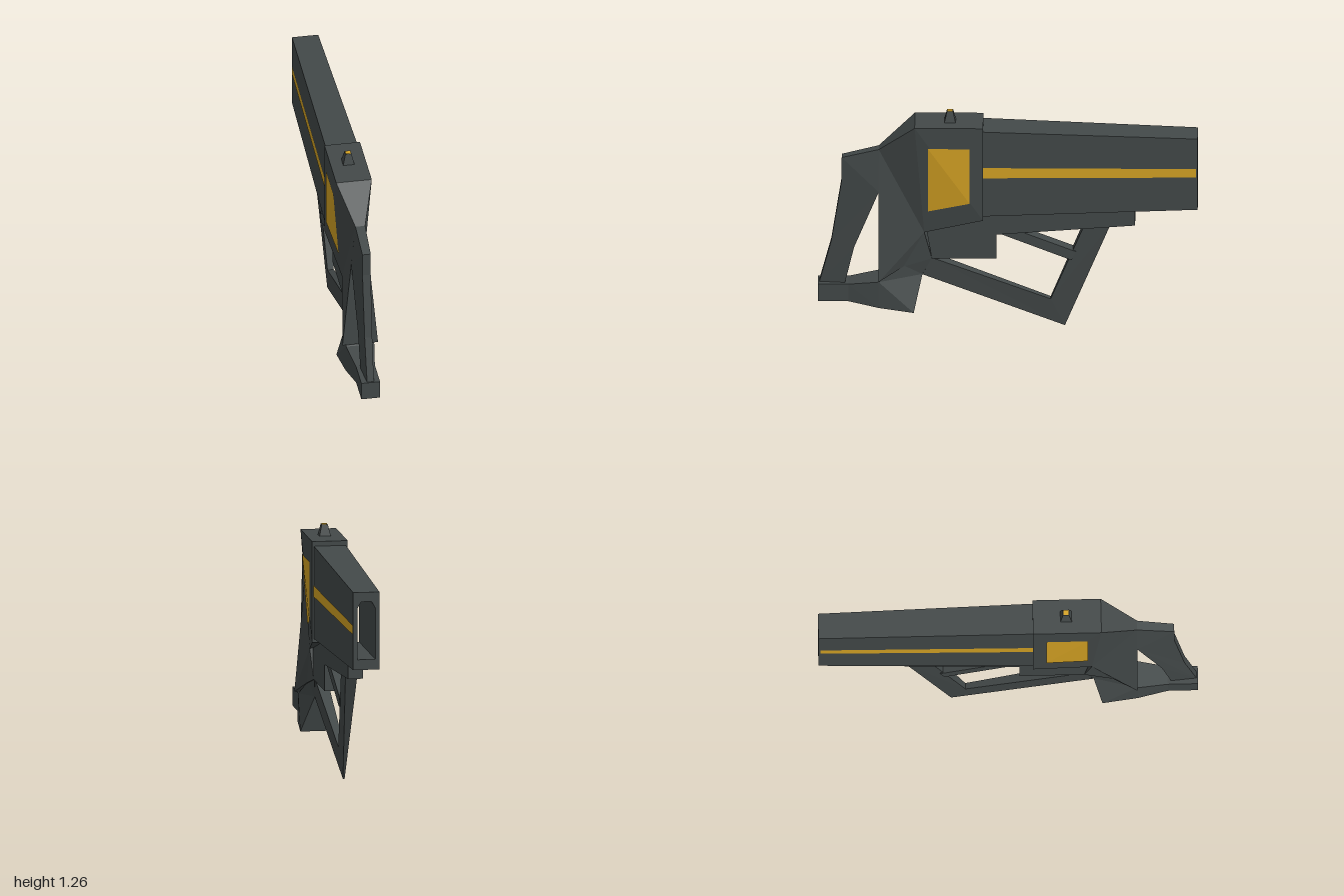
import * as THREE from 'three';

const gunmetal = new THREE.MeshStandardMaterial({ color: 0x434949 });
gunmetal.name = 'gunmetal';
const amber = new THREE.MeshStandardMaterial({ color: 0xd7a424 });
amber.name = 'amber';

function meshFrom(name, verts, material) {
  const g = new THREE.BufferGeometry();
  g.setAttribute('position', new THREE.Float32BufferAttribute(verts, 3));
  g.computeVertexNormals();
  const m = new THREE.Mesh(g, material);
  m.name = name;
  return m;
}

// Mirrored slab from a side outline of [z, y, halfWidth]; rim = false leaves only the two side skins
function slab(name, pts, { material = gunmetal, tris = null, rim = true } = {}) {
  const flat = pts.map(([z, y]) => new THREE.Vector2(z, y));
  const faces = tris || THREE.ShapeUtils.triangulateShape(flat, []);
  const v = [];
  const put = (i, s) => v.push(s * pts[i][2], pts[i][1], pts[i][0]);
  for (const f of faces) {
    const ccw = THREE.ShapeUtils.area(f.map(i => flat[i])) > 0;
    const [a, b, c] = ccw ? [f[0], f[2], f[1]] : f;
    [a, b, c].forEach(i => put(i, 1));
    [a, c, b].forEach(i => put(i, -1));
  }
  if (rim) {
    const ccw = THREE.ShapeUtils.area(flat) > 0;
    pts.forEach((_, k) => {
      const n = (k + 1) % pts.length;
      const [i, j] = ccw ? [k, n] : [n, k];
      put(i, 1); put(j, 1); put(j, -1);
      put(i, 1); put(j, -1); put(i, -1);
    });
  }
  return meshFrom(name, v, material);
}

// Eight-point barrel section; pull moves the top corners in to make a chamfer
function section(z, w, bottom, top, cx, cy, pull) {
  const right = [[w, bottom], [w, top - cy], [w - cx * pull, top - cy * pull], [w - cx, top]];
  const left = right.map(([x, y]) => [-x, y]).reverse();
  return [...right, ...left].map(([x, y]) => [x, y, z]);
}

// Hollow barrel: outer wall, muzzle face, bore wall and bore end
function barrel() {
  const loops = [
    section(0.13, 0.085, 0.68, 1.175, 0.03, 0.05, 0),
    section(-1, 0.07, 0.72, 1.135, 0.03, 0.05, 0),
    section(-1, 0.048, 0.775, 1.085, 0.02, 0.035, 0.5),
    section(-0.5, 0.048, 0.775, 1.085, 0.02, 0.035, 0.5),
  ];
  const v = [];
  for (let k = 0; k < loops.length - 1; k++) {
    const a = loops[k], b = loops[k + 1];
    for (let i = 0; i < 8; i++) {
      const j = (i + 1) % 8;
      v.push(...a[i], ...a[j], ...b[i], ...a[j], ...b[j], ...b[i]);
    }
  }
  const end = loops[3];
  for (let i = 1; i < 7; i++) v.push(...end[0], ...end[i + 1], ...end[i]);
  // wind every face outward
  return meshFrom('barrel', orient(v), gunmetal);
}

// Flip the whole skin if the first wall face points toward the centre line
function orient(v) {
  const t = new THREE.Triangle(...[0, 3, 6].map(o => new THREE.Vector3().fromArray(v, o)));
  if (t.getNormal(new THREE.Vector3()).x > 0) return v;
  const out = [];
  for (let i = 0; i < v.length; i += 9) {
    out.push(...v.slice(i, i + 3), ...v.slice(i + 6, i + 9), ...v.slice(i + 3, i + 6));
  }
  return out;
}

export function createModel() {
  const group = new THREE.Group();
  group.name = 'blaster';

  // Receiver, tapering to the back and flaring at the lower rear
  group.add(slab('receiver', [
    [0.49, 1.2, 0.095], [0.13, 1.2, 0.095], [0.13, 0.66, 0.095], [0.44, 0.57, 0.055],
    [0.4, 0.41, 0.04], [0.55, 0.365, 0.05], [0.68, 0.295, 0.095], [0.68, 1.04, 0.026],
  ], { tris: [[0, 1, 2], [0, 2, 3], [0, 3, 7], [7, 3, 6], [3, 4, 5], [3, 5, 6]] }));

  // Amber side windows
  group.add(slab('sidePanels', [
    [0.42, 1.08, 0.098], [0.2, 1.08, 0.098], [0.2, 0.76, 0.098], [0.42, 0.7, 0.07],
  ], { material: amber, tris: [[0, 1, 2], [0, 2, 3]], rim: false }));

  group.add(barrel());
  group.add(slab('barrelStripes', [
    [0.13, 0.965, 0.087], [-0.99, 0.96, 0.0722], [-0.99, 0.91, 0.0722], [0.13, 0.905, 0.087],
  ], { material: amber, rim: false }));

  // Block and rail below the barrel
  group.add(slab('lowerBlock', [
    [0.45, 0.7, 0.04], [0.06, 0.7, 0.04], [0.06, 0.41, 0.04], [0.4, 0.41, 0.04],
  ]));
  group.add(slab('underRail', [
    [0.08, 0.71, 0.04], [-0.67, 0.73, 0.04], [-0.67, 0.61, 0.04], [0.08, 0.55, 0.04],
  ]));

  // Front guard, thinning to a blade at its lowest corner
  const blade = ([z, y]) => [z, y, Math.min(0.004 + 0.075 * y, 0.032)];
  group.add(slab('frontGuard', [
    [0.45, 0.31], [0.4, 0.41], [-0.225, 0.165], [-0.4, 0.6], [-0.54, 0.61], [-0.3, 0.005],
  ].map(blade)));
  group.add(slab('guardBrace', [
    [0.06, 0.56], [-0.07, 0.565], [-0.36, 0.45], [-0.335, 0.4],
  ].map(blade)));

  // Rear strut of the open grip
  group.add(slab('rearStrut', [
    [0.68, 1.04, 0.026], [0.875, 0.99, 0.022], [0.875, 0.86, 0.022], [0.93, 0.5, 0.02],
    [0.995, 0.25, 0.018], [0.86, 0.25, 0.03], [0.81, 0.47, 0.036], [0.68, 0.8, 0.048],
  ]));

  // Grip foot, spreading at its front lower edge
  group.add(slab('gripFoot', [
    [1, 0.26, 0.05], [0.84, 0.26, 0.05], [0.68, 0.285, 0.075], [0.55, 0.37, 0.045],
    [0.4, 0.41, 0.035], [0.45, 0.31, 0.025], [0.495, 0.115, 0.095],
    [0.68, 0.135, 0.078], [0.84, 0.16, 0.05], [1, 0.16, 0.05],
  ], { tris: [[0, 1, 8], [0, 8, 9], [1, 2, 7], [1, 7, 8], [2, 6, 7], [2, 5, 6], [2, 3, 5], [3, 4, 5]] }));

  // Top sight with an amber tip
  const sight = new THREE.Mesh(
    new THREE.CylinderGeometry(0.016 * Math.SQRT2, 0.03 * Math.SQRT2, 0.06, 4, 1)
      .rotateY(Math.PI / 4).toNonIndexed(), gunmetal);
  sight.geometry.computeVertexNormals();
  sight.name = 'sight';
  sight.position.set(0, 1.23, 0.305);
  const tip = new THREE.Mesh(new THREE.BoxGeometry(0.026, 0.004, 0.026), amber);
  tip.name = 'sightTip';
  tip.position.set(0, 1.26, 0.305);
  group.add(sight, tip);

  return group;
}
